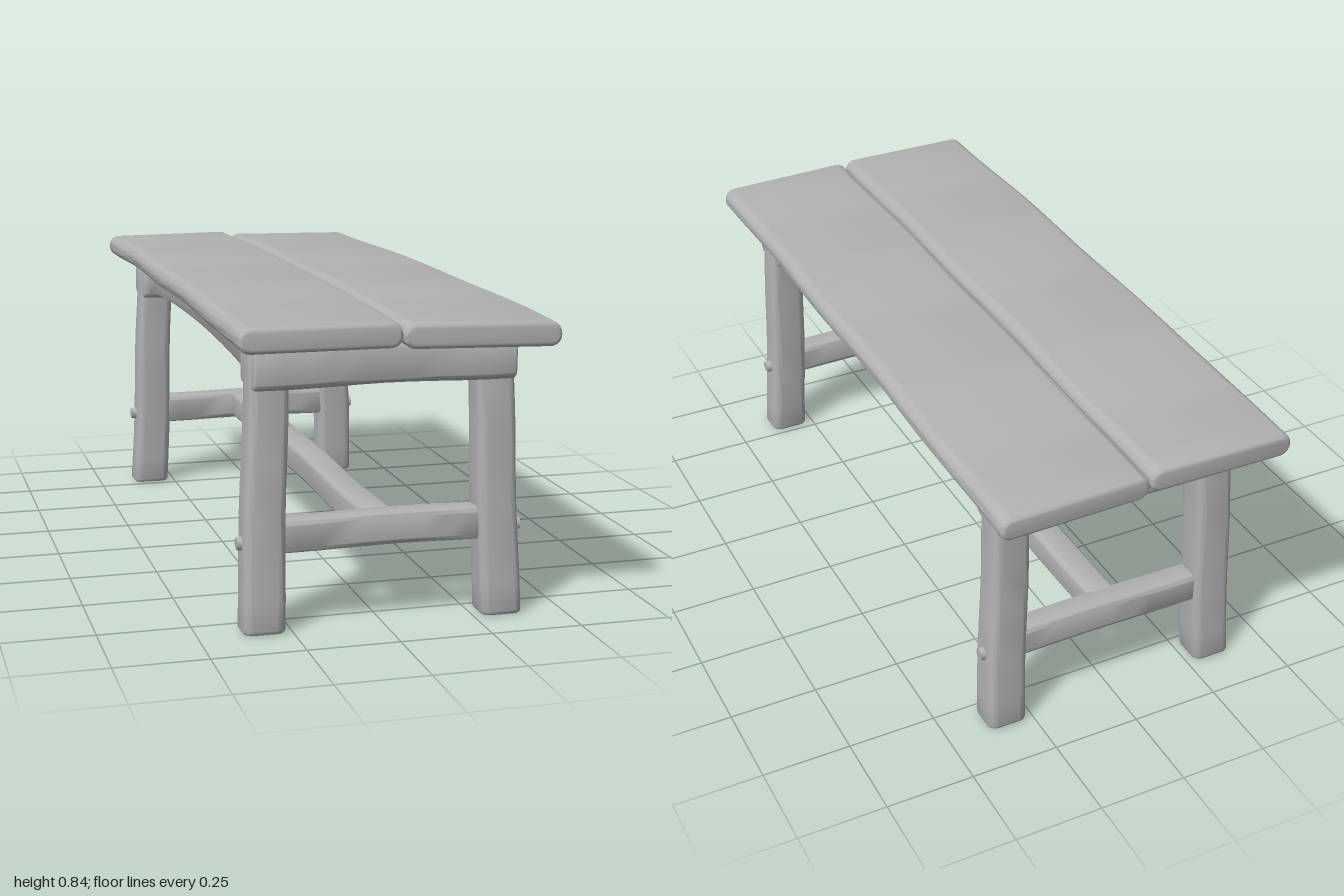
import * as THREE from 'three';
import { toCreasedNormals } from 'three/addons/utils/BufferGeometryUtils.js';

// Rounded beam along z, centred on the origin
function beam(w, h, len, r, steps = 10) {
  const b = r * 0.6, x = w / 2 - b, y = h / 2 - b, s = new THREE.Shape();
  s.absarc(x - r, y - r, r, 0, Math.PI / 2);
  s.absarc(-x + r, y - r, r, Math.PI / 2, Math.PI);
  s.absarc(-x + r, -y + r, r, Math.PI, Math.PI * 1.5);
  s.absarc(x - r, -y + r, r, Math.PI * 1.5, Math.PI * 2);
  const g = new THREE.ExtrudeGeometry(s, {
    depth: len - 2 * b, steps, curveSegments: 4,
    bevelSize: b, bevelThickness: b, bevelSegments: 3,
  });
  return g.translate(0, 0, b - len / 2);
}

// Move every vertex by a rule, then smooth all but the sharp edges
function warp(geometry, rule) {
  const p = geometry.attributes.position, v = new THREE.Vector3();
  for (let i = 0; i < p.count; i++) {
    v.fromBufferAttribute(p, i);
    rule(v);
    p.setXYZ(i, v.x, v.y, v.z);
  }
  return toCreasedNormals(geometry, 0.7);
}

// Gentle hand-hewn unevenness
function hewn(v, a = 0.003) {
  const { x, y, z } = v;
  v.x += a * Math.sin(z * 9 + y * 7);
  v.y += a * Math.sin(z * 7 + x * 11 + 1);
}

export function createModel() {
  const model = new THREE.Group();
  const wood = new THREE.MeshStandardMaterial({ color: 0xb2b2b2 });
  wood.name = 'grey wood';
  const add = (name, geometry, x = 0, y = 0, z = 0) => {
    const mesh = new THREE.Mesh(geometry, wood);
    mesh.name = name;
    mesh.position.set(x, y, z);
    model.add(mesh);
    return mesh;
  };

  // Two top planks, slightly bowed; the +x one tips down outwards
  for (const side of [-1, 1]) {
    const g = warp(beam(0.422, 0.066, 2, 0.02, 24), v => {
      const bow = 0.012 * (1 - v.z * v.z) + 0.003 * v.z;
      if (side > 0) v.y -= 0.025 * v.x;
      hewn(v, 0.002);
      v.y += bow;
    });
    add(side < 0 ? 'rightPlank' : 'leftPlank', g, side * 0.212, side < 0 ? 0.797 : 0.787, 0);
  }

  for (const sx of [-1, 1]) {
    // Splayed, tapering legs with a peg on the outer face
    for (const sz of [-1, 1]) {
      const leg = beam(0.115, 0.105, 0.77, 0.016).rotateX(-Math.PI / 2).translate(0, 0.385, 0);
      add('leg', warp(leg, v => {
        const t = v.y / 0.77;
        v.x = v.x * (1 - 0.09 * t) + sx * (0.3275 - 0.025 * t);
        v.z = v.z * (1 - 0.05 * t) + sz * (0.8175 - 0.0275 * t);
        v.x += 0.002 * Math.sin(v.y * 12 + sz);
      }));
      const peg = new THREE.CylinderGeometry(0.017, 0.025, 0.04, 8).rotateZ(-sx * Math.PI / 2);
      add('legPeg', toCreasedNormals(peg, 0.9), sx * 0.37, 0.237, sz * 0.81);
    }

    // Arched side apron
    const arch = new THREE.Shape();
    arch.moveTo(-0.76, 0.664);
    arch.bezierCurveTo(-0.4, 0.712, 0.4, 0.712, 0.76, 0.664);
    arch.lineTo(0.76, 0.77);
    arch.quadraticCurveTo(0, 0.79, -0.76, 0.77);
    const apron = new THREE.ExtrudeGeometry(arch, {
      depth: 0.05, curveSegments: 20, bevelSize: 0.004, bevelThickness: 0.006, bevelSegments: 2,
    }).translate(0, 0, -0.025).rotateY(-Math.PI / 2);
    add('sideApron', toCreasedNormals(apron, 0.6), sx * 0.305, 0, 0);

    // Knob on the side of the long stretcher
    const knob = new THREE.SphereGeometry(0.02, 10, 8);
    add('stretcherKnob', knob, sx * 0.045, 0.255, -0.055);
  }

  for (const sz of [-1, 1]) {
    // Broad rail capping each pair of legs
    const rail = beam(0.15, 0.11, 0.708, 0.014).rotateY(Math.PI / 2);
    add('endRail', warp(rail, v => {
      v.z *= 1 - 0.5 * Math.max(0, v.y);
      hewn(v);
    }), 0, 0.702, sz * 0.794);
    // Low cross stretcher between each pair of legs
    const cross = beam(0.075, 0.09, 0.6, 0.01).rotateY(Math.PI / 2);
    add('endStretcher', warp(cross, v => hewn(v, 0.002)), 0, 0.254, sz * 0.805);
  }

  // Long centre stretcher
  add('longStretcher', warp(beam(0.085, 0.088, 1.58, 0.012, 20), v => hewn(v, 0.002)), 0, 0.255, 0);

  return model;
}
